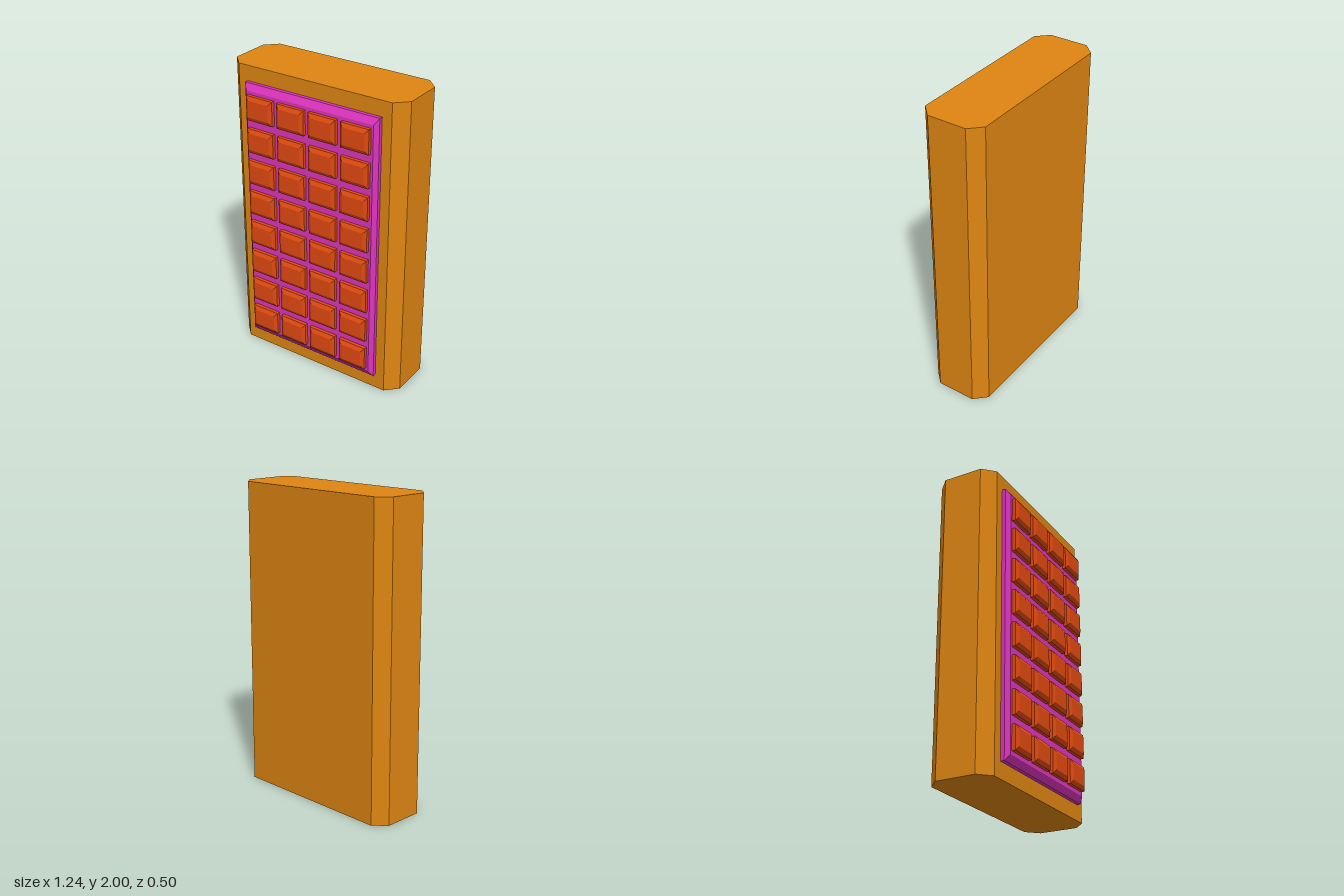
import * as THREE from 'three';

const paint = (color) => new THREE.MeshStandardMaterial({ color, flatShading: true });

// Slab standing on z = 0 whose front edges are bevelled
function bevelledSlab(width, height, depth, bevelDepth, insetX, insetY) {
  const geo = new THREE.BoxGeometry(width, height, depth, 1, 1, 2);
  const p = geo.attributes.position;
  for (let i = 0; i < p.count; i++) {
    const z = p.getZ(i);
    if (z > 0.001) {
      // front face shrinks
      p.setXYZ(i, p.getX(i) - Math.sign(p.getX(i)) * insetX, p.getY(i) - Math.sign(p.getY(i)) * insetY, depth);
    } else {
      p.setZ(i, z < -0.001 ? 0 : depth - bevelDepth);
    }
  }
  const flat = geo.toNonIndexed();
  flat.computeVertexNormals();
  return flat;
}

export function createModel() {
  const model = new THREE.Group();

  // Case: rectangle with cut corners, extruded upwards
  const w = 0.622, back = -0.25, front = 0.163, cut = 0.077;
  const outline = new THREE.Shape([
    [-w + cut, -front], [w - cut, -front], [w, -front + cut], [w, -back - cut],
    [w - cut, -back], [-w + cut, -back], [-w, -back - cut], [-w, -front + cut],
  ].map(([x, y]) => new THREE.Vector2(x, y)));
  const caseGeo = new THREE.ExtrudeGeometry(outline, { depth: 2, bevelEnabled: false });
  caseGeo.rotateX(-Math.PI / 2);
  const body = new THREE.Mesh(caseGeo, paint(0xde8512));
  body.name = 'case';
  model.add(body);

  // Raised panel on the front
  const panel = new THREE.Mesh(bevelledSlab(0.962, 1.796, 0.05, 0.025, 0.025, 0.04), paint(0xdc34bc));
  panel.name = 'panel';
  panel.position.set(0, 1.002, front);
  model.add(panel);

  // Grid of bevelled buttons
  const buttons = new THREE.Group();
  buttons.name = 'buttons';
  const buttonGeo = bevelledSlab(0.195, 0.16, 0.037, 0.014, 0.022, 0.025);
  const buttonPaint = paint(0xe04a10);
  for (let row = 0; row < 8; row++) {
    for (let col = 0; col < 4; col++) {
      const button = new THREE.Mesh(buttonGeo, buttonPaint);
      button.name = `button${row * 4 + col + 1}`;
      button.position.set((col - 1.5) * 0.229, 0.249 + row * 0.2156, front + 0.05);
      buttons.add(button);
    }
  }
  model.add(buttons);

  return model;
}
